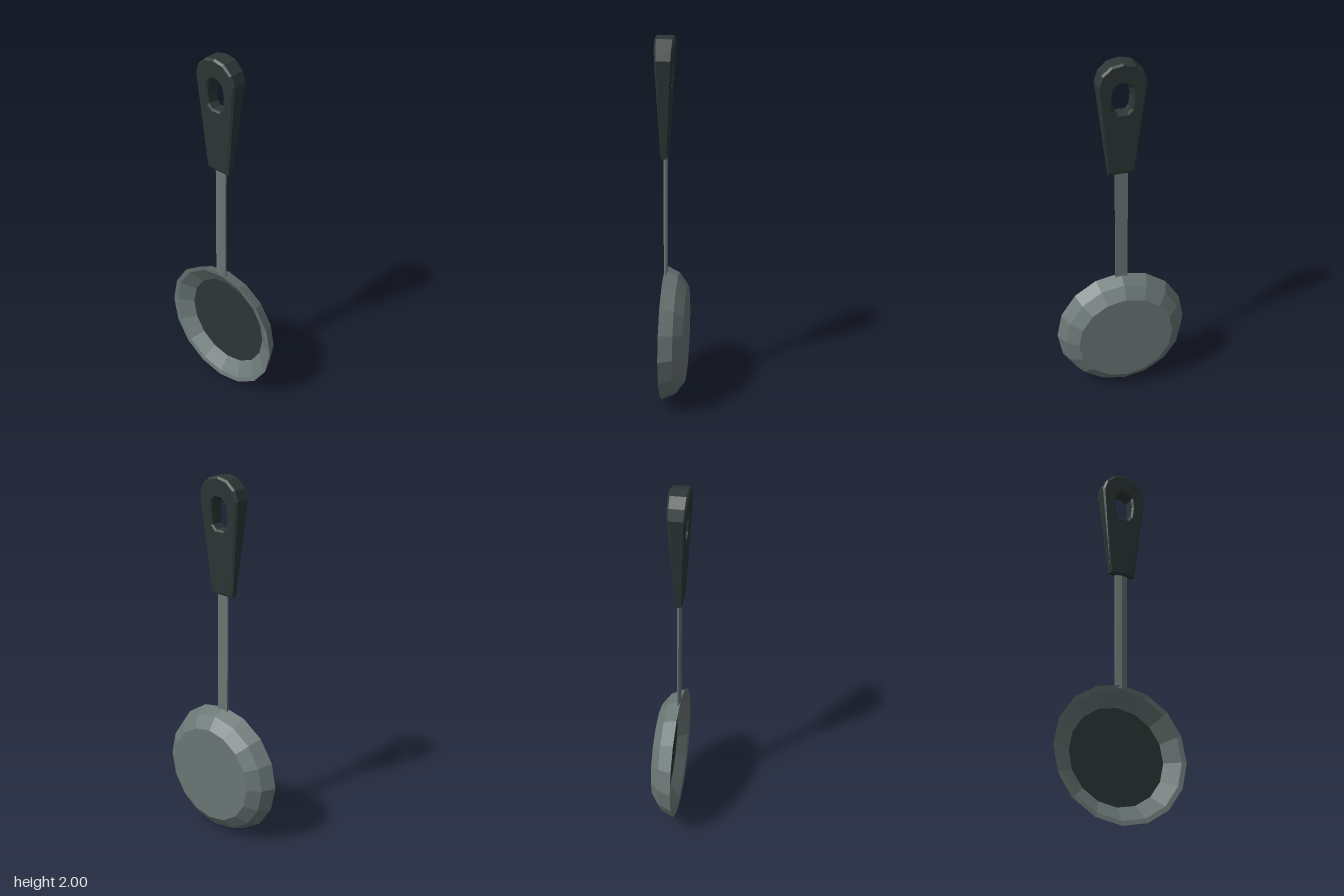
import * as THREE from 'three';

const steel = new THREE.MeshStandardMaterial({ name: 'steel', color: 0x6a7775, flatShading: true });
const dark = new THREE.MeshStandardMaterial({ name: 'darkCoating', color: 0x2c3736, flatShading: true });
const bowlY = 0.372;
const v2 = ([x, y]) => new THREE.Vector2(x, y);

function addMesh(group, name, geometry, material) {
  const mesh = new THREE.Mesh(geometry, material);
  mesh.name = name;
  group.add(mesh);
  return mesh;
}

// Round grip with a hanging hole, thickening towards the top
function handleGeometry() {
  const right = [[0.07, 1.38], [0.127, 1.89], [0.108, 1.945], [0.06, 1.988]];
  const left = right.map(([x, y]) => [-x, y]).reverse();
  const shape = new THREE.Shape([...right, [0, 2], ...left].map(v2));
  const holeRight = [[0.025, 1.728], [0.045, 1.75], [0.052, 1.81], [0.045, 1.865], [0.018, 1.89]];
  const holeLeft = holeRight.map(([x, y]) => [-x, y]).reverse();
  shape.holes.push(new THREE.Path([...holeRight, ...holeLeft].map(v2)));
  const geo = new THREE.ExtrudeGeometry(shape, {
    depth: 1.6, bevelEnabled: true, bevelThickness: 0.2, bevelSize: 0.01,
    bevelOffset: -0.01, bevelSegments: 1, curveSegments: 1,
  });
  geo.translate(0, 0, -0.8); // z now runs from -1 to 1
  const p = geo.attributes.position;
  for (let i = 0; i < p.count; i++) {
    const t = (p.getY(i) - 1.38) / 0.62;
    p.setZ(i, 0.033 - 0.004 * t + p.getZ(i) * (0.017 + 0.034 * t));
  }
  geo.computeVertexNormals();
  return geo;
}

// Bar with a flat back and a shallow ridge along the front
function shaftGeometry(length) {
  const section = [[-0.034, -0.022], [0.034, -0.022], [0.034, -0.031], [0, -0.041], [-0.034, -0.031]];
  const geo = new THREE.ExtrudeGeometry(new THREE.Shape(section.map(v2)), {
    depth: length, bevelEnabled: false,
  });
  return geo.rotateX(-Math.PI / 2);
}

export function createModel() {
  const group = new THREE.Group();
  group.name = 'fryingPan';

  // Shallow faceted bowl: outer wall, flat rim, inner wall, raised floor
  const profile = [[0, -0.083], [0.268, -0.083], [0.333, -0.035], [0.367, 0.038],
    [0.342, 0.032], [0.26, -0.024], [0, -0.024]].map(v2);
  const bowl = new THREE.LatheGeometry(profile, 16);
  bowl.rotateX(Math.PI / 2);
  addMesh(group, 'bowl', bowl, steel).position.y = bowlY;

  // Dark cooking surface
  const floor = new THREE.CircleGeometry(0.262, 16, Math.PI / 2);
  addMesh(group, 'cookingSurface', floor, dark).position.set(0, bowlY, -0.022);

  // Shaft from the rim into the grip
  addMesh(group, 'shaft', shaftGeometry(0.69), steel).position.y = 0.72;

  addMesh(group, 'handle', handleGeometry(), dark);
  return group;
}
